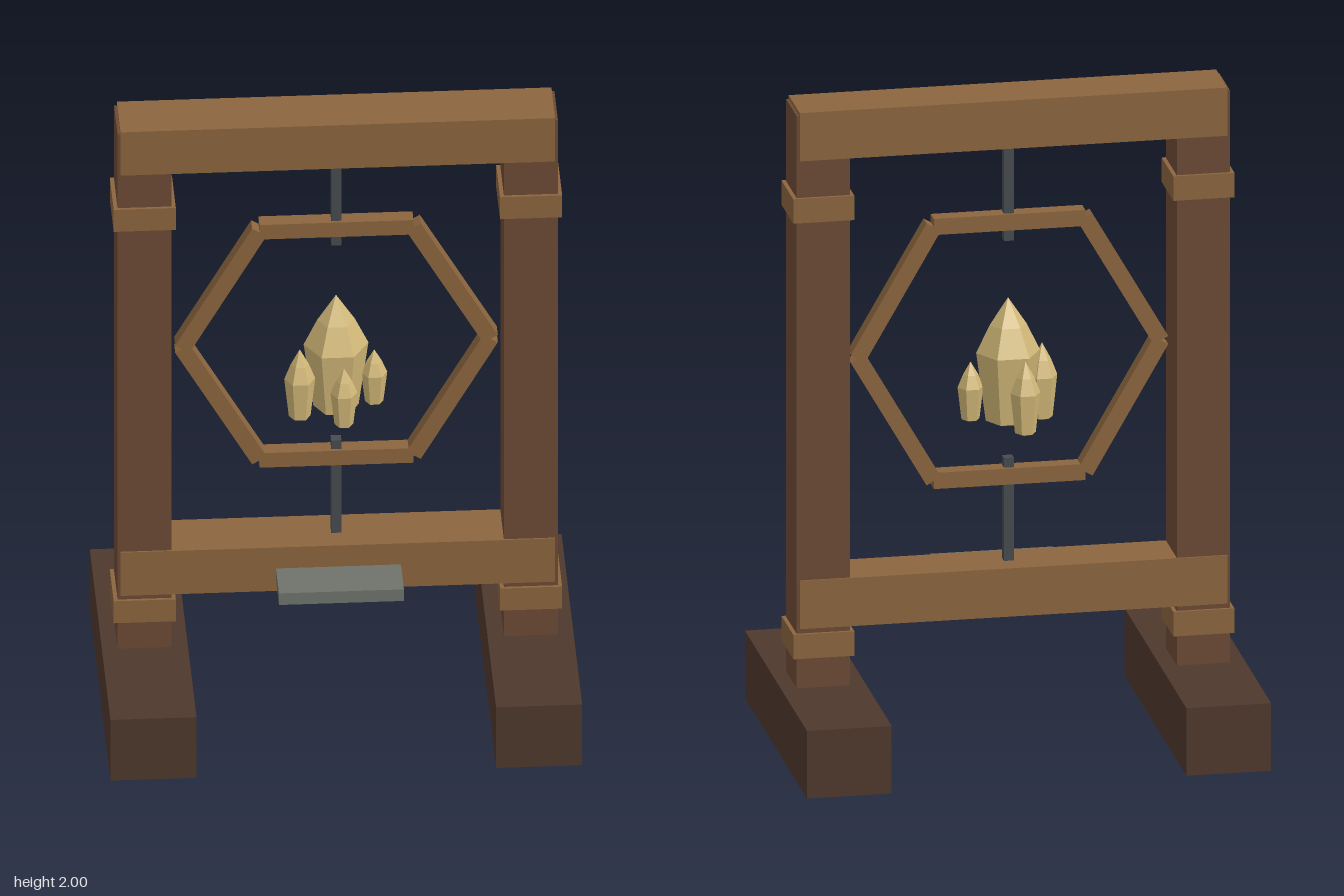
import * as THREE from 'three';

const mat = (name, color, flatShading = false) => {
  const m = new THREE.MeshStandardMaterial({ color, flatShading });
  m.name = name;
  return m;
};

export function createModel() {
  const group = new THREE.Group();
  const darkWood = mat('dark wood', 0x4e382c);
  const postWood = mat('post wood', 0x6b4a34);
  const lightWood = mat('light wood', 0x8b653e);
  const iron = mat('iron', 0x464b4f);
  const stone = mat('grey stone', 0x6e736b);
  const crystalGold = mat('crystal gold', 0xd2b878, true);

  const add = (name, geometry, material, x, y, z) => {
    const mesh = new THREE.Mesh(geometry, material);
    mesh.name = name;
    mesh.position.set(x, y, z);
    group.add(mesh);
    return mesh;
  };
  const box = (name, w, h, d, material, x, y, z = 0) =>
    add(name, new THREE.BoxGeometry(w, h, d), material, x, y, z);

  // Feet, posts and cuffs on both sides
  for (const [side, s] of [['left', 1], ['right', -1]]) {
    box(side + 'Foot', 0.255, 0.21, 0.97, darkWood, s * 0.571, 0.105);
    box(side + 'Post', 0.16, 1.78, 0.165, postWood, s * 0.572, 1.1);
    box(side + 'LowerCuff', 0.184, 0.076, 0.184, lightWood, s * 0.572, 0.342);
    box(side + 'UpperCuff', 0.184, 0.076, 0.184, lightWood, s * 0.572, 1.697);
  }

  // Cross beams
  box('topBeam', 1.287, 0.15, 0.175, lightWood, 0, 1.925);
  box('lowerBeam', 1.287, 0.15, 0.175, lightWood, 0, 0.47);

  // Rods holding the ring
  box('upperRod', 0.03, 0.32, 0.03, iron, 0, 1.7);
  box('lowerRod', 0.03, 0.33, 0.03, iron, 0, 0.7);

  // Hexagonal ring of six bars
  const ringY = 1.205, apothem = 0.395;
  for (let i = 0; i < 6; i++) {
    const a = (i * Math.PI) / 3;
    const bar = box('ringBar', 0.456, 0.05, 0.05, lightWood,
      -Math.sin(a) * apothem, ringY + Math.cos(a) * apothem);
    bar.rotation.z = a;
  }

  // Six-sided crystals: base x, z, bottom, top, radius
  const crystal = (name, x, z, bottom, top, r) => {
    const h = top - bottom;
    const profile = [[0, 0], [0.7, 0.05], [1, 0.58], [0.58, 0.79], [0, 1]]
      .map(([u, v]) => new THREE.Vector2(u * r, v * h));
    const mesh = add(name, new THREE.LatheGeometry(profile, 6), crystalGold, x, bottom, z);
    mesh.rotation.y = Math.PI / 6;
  };
  crystal('mainCrystal', 0, 0, 0.96, 1.36, 0.096);
  crystal('smallCrystal', -0.11, 0.04, 0.958, 1.2, 0.046);
  crystal('smallCrystal', 0.017, 0.102, 0.965, 1.167, 0.04);
  crystal('smallCrystal', 0.113, 0, 0.98, 1.167, 0.039);
  crystal('smallCrystal', -0.033, -0.1, 0.958, 1.19, 0.045);

  // Plaque in front of the lower beam
  box('plaque', 0.37, 0.04, 0.142, stone, 0, 0.47, 0.187);

  return group;
}
